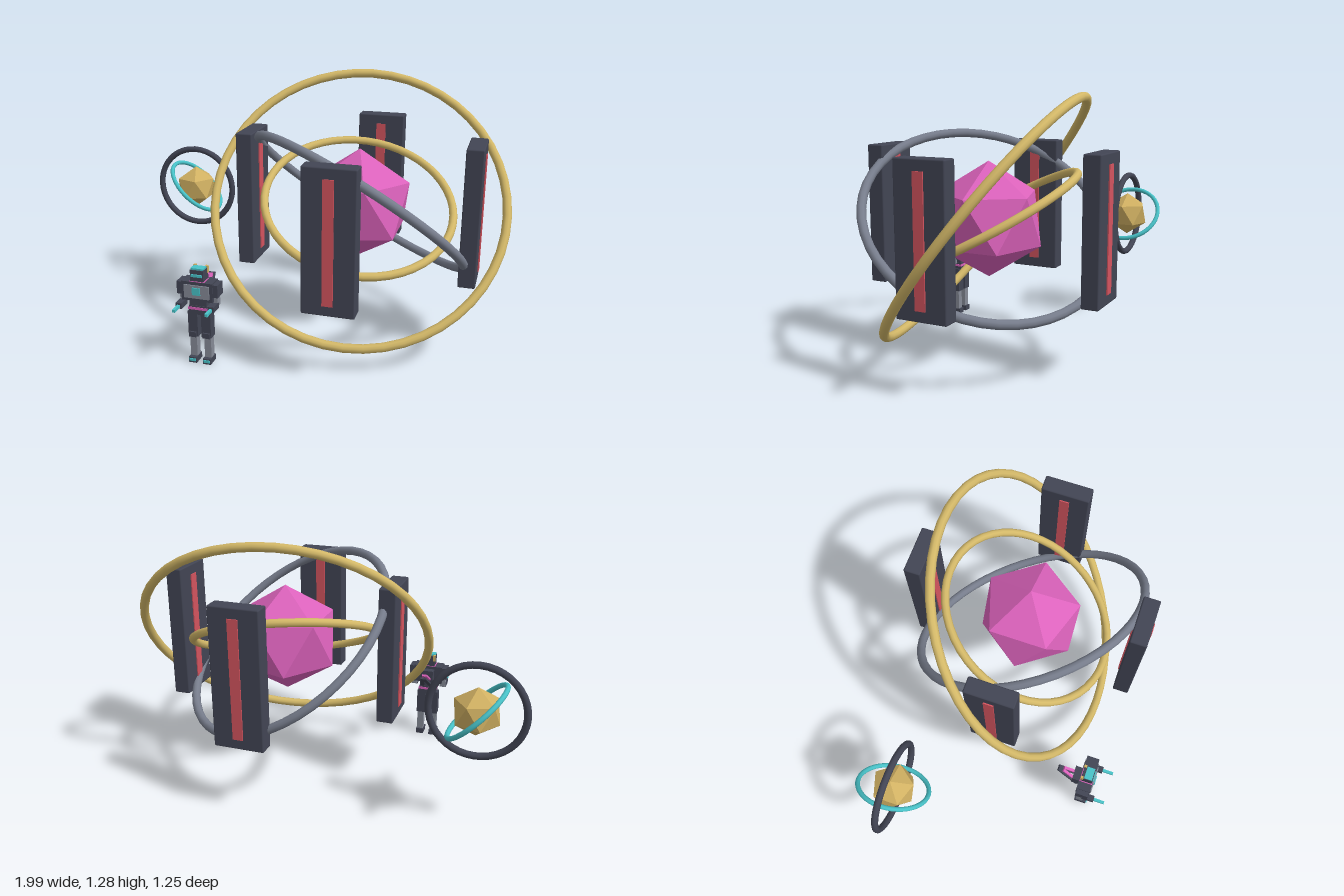
import * as THREE from 'three';
import { RoundedBoxGeometry } from 'three/addons/geometries/RoundedBoxGeometry.js';

const material = (name, color, extra = {}) => {
  const m = new THREE.MeshStandardMaterial({ color, ...extra });
  m.name = name;
  return m;
};

export function createModel() {
  const dark = material('charcoal', 0x424554);
  const steel = material('steel grey', 0x777d8c);
  const pale = material('light grey', 0x858a96);
  const gold = material('gold', 0xd3b868);
  const goldFacet = material('faceted gold', 0xd0b062, { flatShading: true });
  const pink = material('magenta', 0xdb62bb, { flatShading: true });
  const red = material('red', 0xd4545f);
  const teal = material('teal', 0x48c2c8);

  const model = new THREE.Group();
  model.name = 'ringedCoreScene';

  const group = (name, x, y, z) => {
    const g = new THREE.Group();
    g.name = name;
    g.position.set(x, y, z);
    model.add(g);
    return g;
  };
  const add = (parent, name, geometry, mat, x = 0, y = 0, z = 0) => {
    const mesh = new THREE.Mesh(geometry, mat);
    mesh.name = name;
    mesh.position.set(x, y, z);
    parent.add(mesh);
    return mesh;
  };
  const box = (parent, name, mat, w, h, d, x = 0, y = 0, z = 0) =>
    add(parent, name, new THREE.BoxGeometry(w, h, d), mat, x, y, z);
  // Torus whose axis points along the given normal
  const ring = (parent, name, mat, radius, tube, normal, segments = 48) => {
    const mesh = add(parent, name, new THREE.TorusGeometry(radius, tube, 10, segments), mat);
    mesh.quaternion.setFromUnitVectors(
      new THREE.Vector3(0, 0, 1), new THREE.Vector3(...normal).normalize());
    return mesh;
  };
  // Icosahedron turned so that one corner points straight up
  const crystal = (parent, name, mat, radius) => {
    const mesh = add(parent, name, new THREE.IcosahedronGeometry(radius, 0), mat);
    mesh.rotation.z = -Math.atan2(1, (1 + Math.sqrt(5)) / 2);
    return mesh;
  };

  // Large core with three tilted rings
  const reactor = group('reactor', 0.257, 0.6875, -0.022);
  crystal(reactor, 'core', pink, 0.275);
  ring(reactor, 'outerRing', gold, 0.718, 0.022, [0.15, 0.61, 0.78]);
  ring(reactor, 'middleRing', steel, 0.59, 0.022, [0.425, 0.77, -0.47]);
  ring(reactor, 'innerRing', gold, 0.466, 0.02, [0.19, 0.885, 0.43]);

  // Four pylons around the core, each with a strip showing on both faces
  for (let i = 0; i < 4; i++) {
    const pylon = new THREE.Group();
    pylon.name = 'pylon';
    pylon.rotation.y = i * Math.PI / 2;
    reactor.add(pylon);
    add(pylon, 'pylonSlab', new RoundedBoxGeometry(0.245, 0.675, 0.083, 1, 0.007), dark, 0, 0, 0.553);
    box(pylon, 'pylonStrip', red, 0.05, 0.575, 0.094, 0, 0, 0.553);
  }

  // Small floating gyroscope
  const gyro = group('gyroscope', -0.768, 0.585, -0.365);
  crystal(gyro, 'gyroCore', goldFacet, 0.115);
  ring(gyro, 'gyroFrame', dark, 0.216, 0.0165, [0, 0, 1], 40);
  ring(gyro, 'gyroInnerRing', teal, 0.172, 0.0115, [1, 1, 0], 40);

  // Robot standing beside the core
  const robot = group('robot', -0.375, 0, 0.505);
  box(robot, 'hips', dark, 0.092, 0.045, 0.06, 0, 0.275, 0);
  box(robot, 'belt', pink, 0.097, 0.012, 0.066, 0, 0.284, 0);
  box(robot, 'waist', dark, 0.085, 0.05, 0.055, 0, 0.31, 0);
  box(robot, 'chest', dark, 0.155, 0.095, 0.07, 0, 0.372, 0);
  box(robot, 'chestPlate', pale, 0.125, 0.065, 0.008, 0, 0.372, 0.037);
  box(robot, 'chestLight', teal, 0.04, 0.036, 0.008, 0, 0.376, 0.042);
  box(robot, 'collar', pink, 0.075, 0.012, 0.065, 0, 0.415, 0);
  box(robot, 'head', dark, 0.066, 0.06, 0.058, 0, 0.446, 0);
  box(robot, 'visor', teal, 0.054, 0.012, 0.008, 0, 0.45, 0.031);
  box(robot, 'crest', teal, 0.062, 0.01, 0.04, 0, 0.479, 0.005);
  box(robot, 'backpack', dark, 0.07, 0.08, 0.042, 0, 0.365, -0.05);

  for (const s of [-1, 1]) {
    // Head horn
    box(robot, 'horn', goldFacet, 0.012, 0.034, 0.014, s * 0.03, 0.467, -0.025);
    // Arm with the forearm held forward
    box(robot, 'shoulder', dark, 0.044, 0.062, 0.064, s * 0.08, 0.382, 0);
    box(robot, 'upperArm', pale, 0.028, 0.06, 0.034, s * 0.08, 0.33, 0);
    box(robot, 'forearm', dark, 0.03, 0.028, 0.062, s * 0.08, 0.305, 0.036);
    box(robot, 'armBlade', teal, 0.014, 0.014, 0.07, s * 0.08, 0.303, 0.087);
    // Leg
    box(robot, 'thigh', dark, 0.048, 0.13, 0.047, s * 0.033, 0.198, 0);
    box(robot, 'kneePad', dark, 0.036, 0.026, 0.012, s * 0.035, 0.146, 0.026);
    box(robot, 'shin', pale, 0.034, 0.12, 0.036, s * 0.036, 0.088, 0);
    box(robot, 'foot', dark, 0.04, 0.028, 0.064, s * 0.036, 0.014, 0.006);
    box(robot, 'toeLight', teal, 0.032, 0.012, 0.006, s * 0.036, 0.016, 0.04);
    // Back fins sweeping up behind, leaning toward each other
    const fin = new THREE.Group();
    fin.name = 'backFin';
    fin.position.set(s * 0.014, 0.352, -0.098);
    fin.rotation.set(0.66, s * 0.14, 0);
    robot.add(fin);
    box(fin, 'finBlade', dark, 0.022, 0.01, 0.14);
    box(fin, 'finEdge', pink, 0.014, 0.01, 0.095, 0, 0.022, -0.005);
  }

  return model;
}
